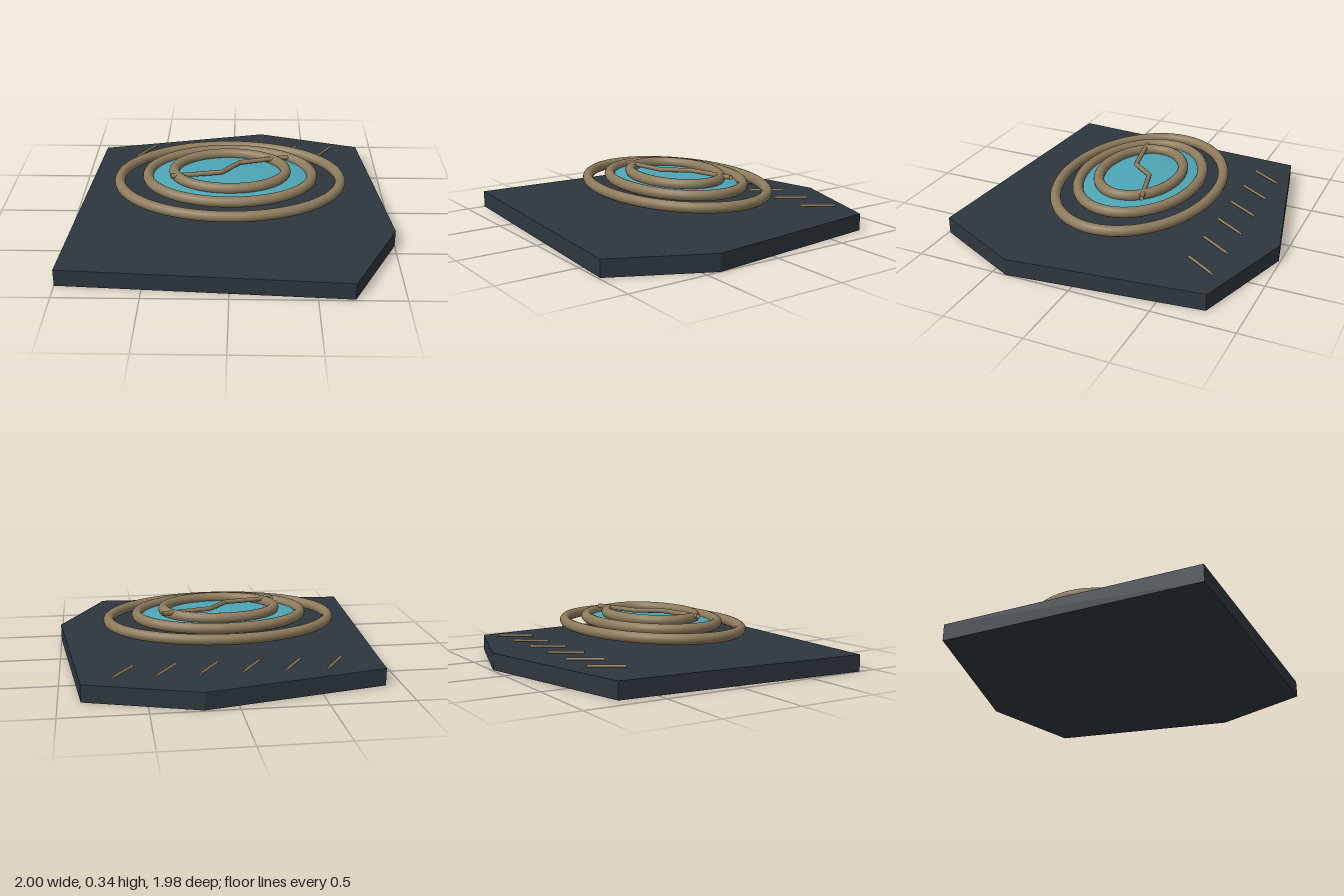
import * as THREE from 'three';

const slate = new THREE.MeshStandardMaterial({ color: 0x2e373e });
const bronze = new THREE.MeshStandardMaterial({ color: 0x8c7a5b, side: THREE.DoubleSide });
const cyan = new THREE.MeshStandardMaterial({ color: 0x4da6b6 });
slate.name = 'slate';
bronze.name = 'bronze';
cyan.name = 'cyan';

const CENTER_X = -0.012;

export function createModel() {
  const model = new THREE.Group();
  const add = (name, geometry, material) => {
    const mesh = new THREE.Mesh(geometry, material);
    mesh.name = name;
    model.add(mesh);
    return mesh;
  };

  // Irregular six-sided slab, outline given as x, z
  const outline = [[-0.9, -0.74], [0.2, -0.99], [0.87, -0.78], [1, 0.41], [0.71, 0.99], [-1, 0.88]];
  const shape = new THREE.Shape(outline.map(([x, z]) => new THREE.Vector2(x, -z)));
  const slab = new THREE.ExtrudeGeometry(shape, { depth: 0.105, bevelEnabled: false });
  add('slab', slab.rotateX(-Math.PI / 2), slate);

  // Three stepped oval rings with round section
  const rings = [
    ['outerRing', 0.7, 0.493, 0.243],
    ['middleRing', 0.52, 0.367, 0.273],
    ['innerRing', 0.352, 0.247, 0.303],
  ];
  for (const [name, rx, rz, y] of rings) {
    const points = [];
    for (let i = 0; i < 48; i++) {
      const a = (i / 48) * Math.PI * 2;
      points.push(new THREE.Vector3(CENTER_X + rx * Math.cos(a), y, rz * Math.sin(a)));
    }
    const path = new THREE.CatmullRomCurve3(points, true);
    add(name, new THREE.TubeGeometry(path, 128, 0.033, 16, true), bronze);
  }

  // Flattened lens inside the middle ring
  const lens = add('lens', new THREE.SphereGeometry(1, 64, 32), cyan);
  lens.scale.set(0.51, 0.04, 0.36);
  lens.position.set(CENTER_X, 0.255, 0);

  // Zigzag bar lying across the inner ring
  const bends = [[-0.38, 0.12], [-0.065, 0.06], [0.05, -0.08], [0.36, -0.165]];
  const zigzag = new THREE.CatmullRomCurve3(
    bends.map(([x, z]) => new THREE.Vector3(x, 0.32, z)), false, 'catmullrom', 0.06);
  add('zigzagBar', new THREE.TubeGeometry(zigzag, 64, 0.015, 10), bronze);

  // Row of six slanted rods along the back
  for (let i = 0; i < 6; i++) {
    const x = -0.612 + i * 0.248;
    const path = new THREE.LineCurve3(
      new THREE.Vector3(x - 0.061, 0.126, -0.557),
      new THREE.Vector3(x + 0.061, 0.126, -0.743));
    add('backRod' + (i + 1), new THREE.TubeGeometry(path, 1, 0.009, 8), bronze);
  }

  return model;
}
